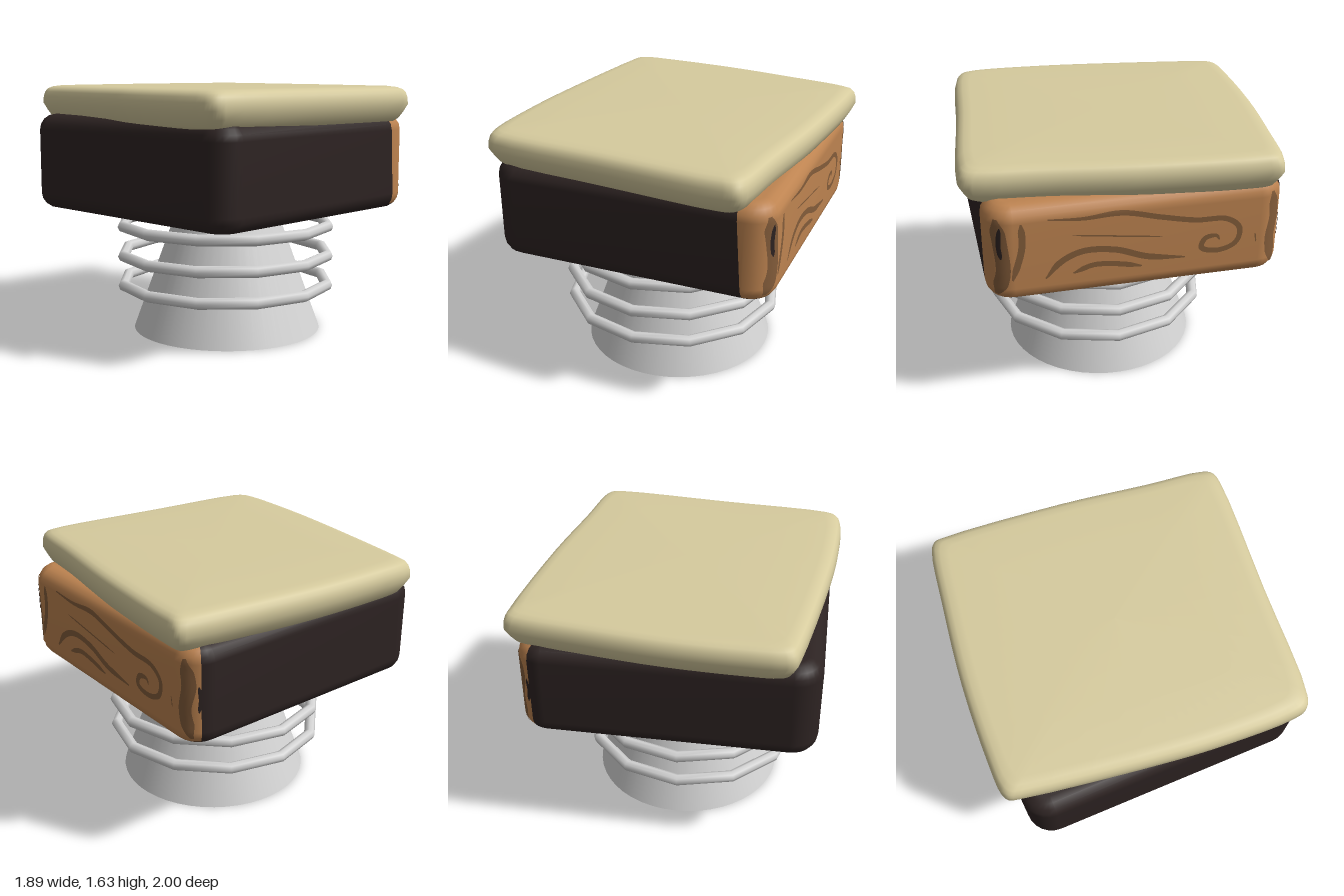
import * as THREE from 'three';

const mat = (name, color, side = THREE.FrontSide) => {
  const m = new THREE.MeshStandardMaterial({ color, side });
  m.name = name;
  return m;
};

// Skin closed rings from bottom to top; isSecond(ring, column) picks material 1.
function loft(rings, isSecond = () => false) {
  const n = rings[0].length;
  const lists = [[], []];
  for (let j = 0; j < rings.length - 1; j++) {
    for (let i = 0; i < n; i++) {
      const a = j * n + i, b = j * n + (i + 1) % n;
      lists[isSecond(j, i) ? 1 : 0].push(a, a + n, b, b, a + n, b + n);
    }
  }
  const g = new THREE.BufferGeometry();
  g.setAttribute('position', new THREE.Float32BufferAttribute(rings.flat().flat(), 3));
  g.setIndex([...lists[0], ...lists[1]]);
  g.addGroup(0, lists[0].length, 0);
  if (lists[1].length) g.addGroup(lists[0].length, lists[1].length, 1);
  g.computeVertexNormals();
  return g;
}

// Body dimensions
const CX = -0.0125, CZ = -0.0075, HALF = 0.8925, CORNER = 0.16, EDGE = 0.1;
const Y0 = 0.81, Y1 = 1.43, ARC = 6;
const CORE = HALF - CORNER;

// Rounded square outline; one extra point marks the slanted wood edge on the front.
function bodyRing(inset, y) {
  const pts = [];
  const r = CORNER - inset;
  [[1, -1], [1, 1], [-1, 1], [-1, -1]].forEach(([sx, sz], k) => {
    for (let i = 0; i <= ARC; i++) {
      const t = (k - 1 + i / ARC) * Math.PI / 2;
      pts.push([CX + sx * CORE + r * Math.cos(t), y, CZ + sz * CORE + r * Math.sin(t)]);
    }
    if (k === 1) pts.push([0.67 + 0.04 * (Y1 - y) / (Y1 - Y0), y, CZ + CORE + r]);
  });
  return pts;
}

function bodyGeometry() {
  const steps = 4, bottom = [], top = [];
  for (let i = 0; i <= steps; i++) {
    const t = i / steps * Math.PI / 2;
    const inset = EDGE * (1 - Math.sin(t)), rise = EDGE * (1 - Math.cos(t));
    bottom.push(bodyRing(inset, Y0 + rise));
    top.unshift(bodyRing(inset, Y1 - rise));
  }
  const cap = y => bottom[0].map(() => [CX, y, CZ]);
  const rings = [cap(Y0), ...bottom, ...top, cap(Y1)];
  return loft(rings, (j, i) => j >= 3 && i >= 2 && i <= 2 * ARC + 1);
}

// x of the wood side at a given z and y
function sideX(z, y) {
  const d = Math.min(EDGE, Math.max(0, Y0 + EDGE - y, y - Y1 + EDGE));
  const inset = EDGE - Math.sqrt(EDGE * EDGE - d * d);
  const dz = Math.max(0, Math.abs(z - CZ) - CORE), r = CORNER - inset;
  return CX + CORE + Math.sqrt(Math.max(0, r * r - dz * dz));
}

// Thin tapered strip following [z, y] points on the wood side
function ribbon(points, width, lift = 0.004) {
  const curve = new THREE.CatmullRomCurve3(points.map(([z, y]) => new THREE.Vector3(0, y, z)));
  const N = points.length * 6, pos = [], idx = [];
  for (let i = 0; i <= N; i++) {
    const p = curve.getPoint(i / N), t = curve.getTangent(i / N);
    const w = width / 2 * Math.min(1, 0.25 + 5 * Math.min(i / N, 1 - i / N));
    for (const s of [-1, -0.5, 0, 0.5, 1]) {
      const z = p.z + s * w * t.y, y = p.y - s * w * t.z;
      pos.push(sideX(z, y) + lift, y, z);
    }
    if (i < N) {
      for (let k = 0; k < 4; k++) {
        const a = i * 5 + k;
        idx.push(a, a + 1, a + 5, a + 1, a + 6, a + 5);
      }
    }
  }
  const g = new THREE.BufferGeometry();
  g.setAttribute('position', new THREE.Float32BufferAttribute(pos, 3));
  g.setIndex(idx);
  g.computeVertexNormals();
  return g;
}

// Skewed cushion-like lid outline, as [x, z]
const lidOutline = [
  [-0.77, -0.9], [-0.75, -0.965], [-0.7, -0.992], [-0.5, -1], [0, -0.98], [0.5, -0.92],
  [0.88, -0.86], [0.93, -0.83], [0.938, -0.76], [0.875, 0], [0.795, 0.55], [0.745, 0.92],
  [0.71, 0.98], [0.63, 0.996], [-0.15, 0.93], [-0.86, 0.865], [-0.925, 0.825],
  [-0.947, 0.72], [-0.937, 0.35], [-0.905, 0],
];

function lidGeometry() {
  const curve = new THREE.CatmullRomCurve3(
    lidOutline.map(([x, z]) => new THREE.Vector3(x, 0, z)), true, 'centripetal');
  const pts = curve.getPoints(80).slice(0, 80);
  // [inset, height] from the underside up to the slightly domed top
  const profile = [[1, 1.39], [0.12, 1.39], [0.075, 1.393], [0.05, 1.41], [0.025, 1.45],
    [0, 1.5], [0.003, 1.545], [0.012, 1.575], [0.03, 1.597], [0.06, 1.61], [0.11, 1.617],
    [0.4, 1.624], [1, 1.627]];
  return loft(profile.map(([d, y]) => pts.map(p => [p.x * (1 - d), y, p.z * (1 - d)])));
}

export function createModel() {
  const model = new THREE.Group();
  const dark = mat('dark brown', 0x2d2322, THREE.DoubleSide);
  const wood = mat('wood', 0xbd8350);
  const grain = mat('wood grain', 0x835c3a, THREE.DoubleSide);
  const cream = mat('cream', 0xd6cb9e);
  const grey = mat('light grey', 0xd3d3d3, THREE.DoubleSide);

  const add = (name, geometry, material, parent = model) => {
    const m = new THREE.Mesh(geometry, material);
    m.name = name;
    parent.add(m);
    return m;
  };

  add('lid', lidGeometry(), cream);
  add('body', bodyGeometry(), [dark, wood]);

  // Grain strokes on the wood side
  const grainGroup = new THREE.Group();
  grainGroup.name = 'woodGrain';
  model.add(grainGroup);
  const strokes = [
    [0.034, [[0.53, 1.34], [0.33, 1.325], [0.1, 1.335], [-0.13, 1.28], [-0.34, 1.235],
      [-0.53, 1.22], [-0.61, 1.15], [-0.59, 1.055], [-0.48, 1.015], [-0.38, 1.045],
      [-0.4, 1.105], [-0.47, 1.115], [-0.49, 1.085]]],
    [0.01, [[0.39, 1.225], [0.14, 1.19], [-0.14, 1.15]]],
    [0.04, [[0.55, 0.96], [0.46, 1.06], [0.33, 1.115], [0.14, 1.1], [-0.05, 1.03], [-0.28, 0.995]]],
    [0.034, [[0.39, 0.975], [0.27, 1.015], [0.14, 1.005], [-0.02, 0.97]]],
    [0.04, [[0.68, 1.33], [0.68, 1.18], [0.74, 0.97]]],
    [0.008, [[-0.71, 1.1], [-0.72, 1.04]]],
    [0.08, [[0.82, 1.36], [0.8, 1.2], [0.79, 1.02], [0.83, 0.87]]],
    [0.07, [[-0.81, 1.36], [-0.83, 1.2], [-0.81, 1.05], [-0.84, 0.87]]],
  ];
  for (const [w, pts] of strokes) add('grainStroke', ribbon(pts, w), grain, grainGroup);

  // Dark chips on the corners
  add('frontChip', ribbon([[0.8, 1.31], [0.81, 1.2], [0.8, 1.11]], 0.025, 0.008), dark);
  add('backChip', ribbon([[-0.875, 1.2], [-0.88, 1.12], [-0.875, 1.04]], 0.012, 0.008), dark);

  // Open tapered base
  const base = add('base', new THREE.CylinderGeometry(0.315, 0.625, 0.85, 48, 1, true), grey);
  base.position.set(-0.005, 0.425, 0.047);

  // Three loose rings around the base
  const ringGeometry = new THREE.TorusGeometry(0.688, 0.037, 8, 12).rotateX(Math.PI / 2);
  for (const y of [0.32, 0.515, 0.71]) {
    add('ring', ringGeometry, grey).position.set(-0.035, y, 0.06);
  }
  return model;
}
